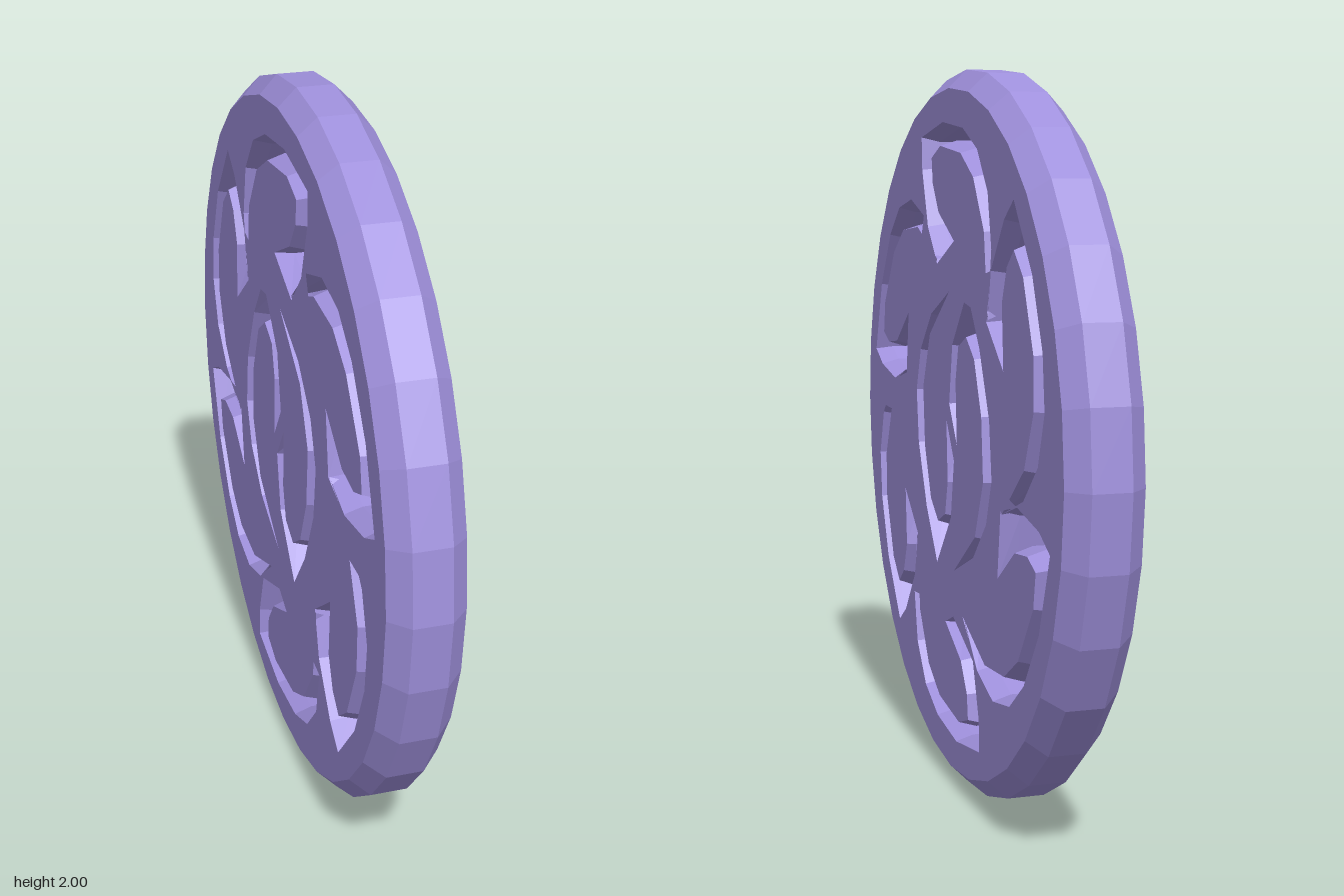
import * as THREE from 'three';

// Curved hook slot of the outer ring, as x, y around the disc centre
const ringSlot = [
  [-0.283, 0.824], [-0.06, 0.861], [0.134, 0.84], [0.265, 0.783], [0.358, 0.674], [0.39, 0.529],
  [0.358, 0.348], [0.326, 0.572], [0.23, 0.711], [0.112, 0.775], [-0.086, 0.797], [-0.176, 0.765],
  [-0.166, 0.695], [-0.107, 0.615], [0.048, 0.54], [-0.123, 0.471], [-0.219, 0.572], [-0.278, 0.733],
];

// Hook slot of the central pair
const innerSlot = [
  [0, 0.401], [-0.187, 0.326], [-0.305, 0.214], [-0.353, 0.091], [-0.332, -0.064], [-0.246, -0.241],
  [-0.134, -0.385], [0.011, -0.23], [0.043, -0.064], [-0.032, 0.043], [-0.021, -0.134], [-0.048, -0.23],
  [-0.123, -0.262], [-0.198, -0.209], [-0.262, -0.064], [-0.278, 0.107], [-0.203, 0.267],
];

// Turns a slot outline by an angle about a centre and returns it as a hole
function slotHole(points, angle, centre) {
  return new THREE.Path(points.map(([x, y]) =>
    new THREE.Vector2(x, y).rotateAround(centre, angle)));
}

export function createModel() {
  const group = new THREE.Group();
  const lilac = new THREE.MeshStandardMaterial({ color: 0x9f90dc });
  lilac.name = 'lilac';
  lilac.flatShading = true;

  // 32-sided disc outline with six ring slots and two central slots
  const outline = [];
  for (let i = 0; i < 32; i++) {
    const a = (i / 32) * Math.PI * 2;
    outline.push(new THREE.Vector2(0.95 * Math.cos(a), 0.95 * Math.sin(a)));
  }
  const shape = new THREE.Shape(outline);
  const middle = new THREE.Vector2(0, 0);
  for (let i = 0; i < 6; i++) shape.holes.push(slotHole(ringSlot, (i * Math.PI) / 3, middle));
  const pairCentre = new THREE.Vector2(0.02, 0.013);
  for (let i = 0; i < 2; i++) shape.holes.push(slotHole(innerSlot, i * Math.PI, pairCentre));

  // Thick plate with narrow chamfers along the slots
  const geometry = new THREE.ExtrudeGeometry(shape, {
    depth: 0.1, bevelEnabled: true, bevelThickness: 0.05, bevelSize: 0.015, bevelSegments: 1,
  });
  geometry.translate(0, 0, -0.05);

  // Widen the chamfer of the outer rim
  const pos = geometry.attributes.position;
  for (let i = 0; i < pos.count; i++) {
    const x = pos.getX(i), y = pos.getY(i), r = Math.hypot(x, y);
    if (r < 0.93) continue;
    const k = (Math.abs(pos.getZ(i)) > 0.07 ? 0.95 : 1) / r;
    pos.setXY(i, x * k, y * k);
  }
  geometry.computeVertexNormals();

  // Stand the disc on its edge, facing sideways
  geometry.rotateY(Math.PI / 2);
  const disc = new THREE.Mesh(geometry, lilac);
  disc.name = 'piercedDisc';
  disc.position.y = 1;
  group.add(disc);
  return group;
}
